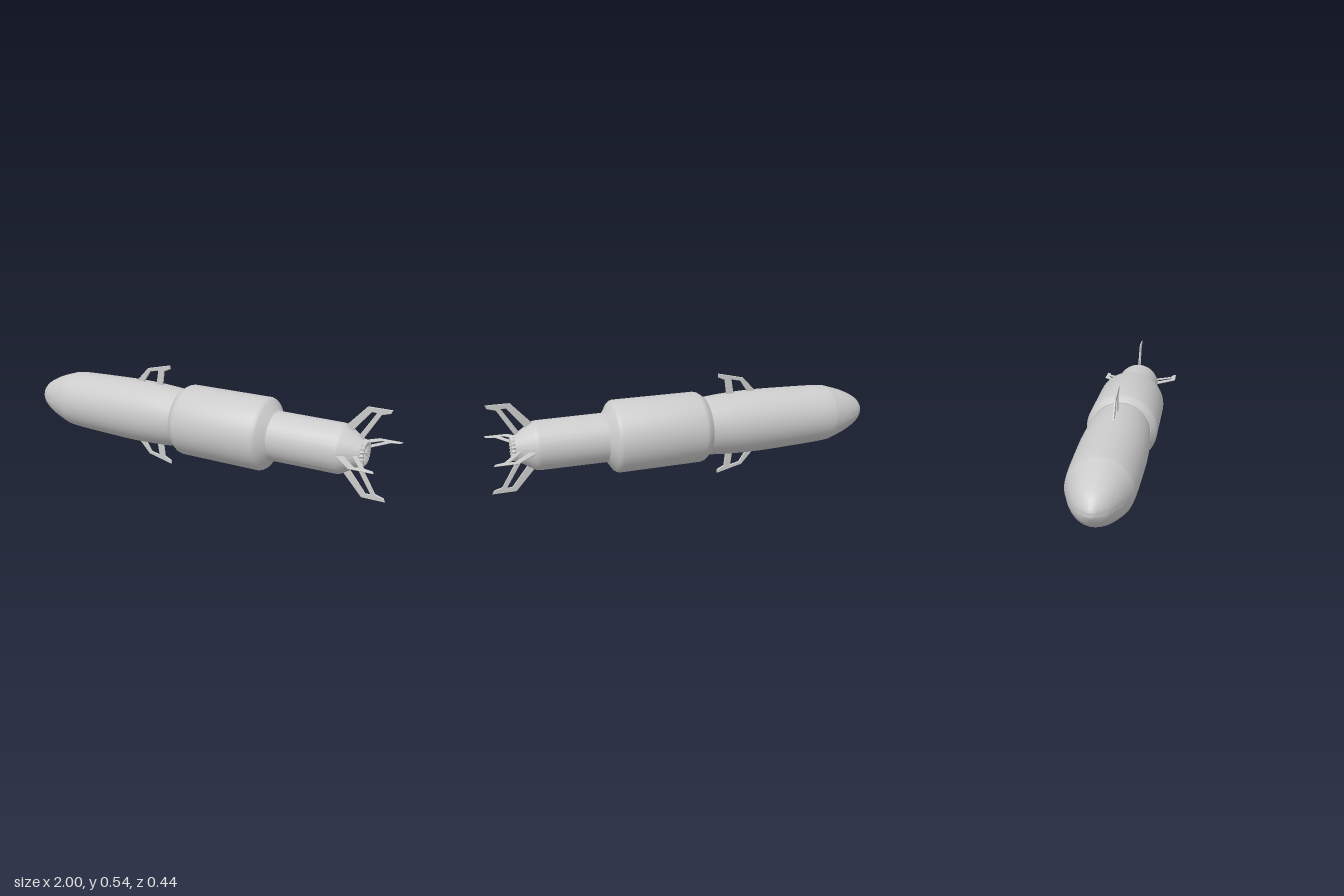
import * as THREE from 'three';
import { toCreasedNormals } from 'three/addons/utils/BufferGeometryUtils.js';

const AXIS_Y = 0.273;
const material = new THREE.MeshStandardMaterial({ color: 0xcccccc, side: THREE.DoubleSide });

// Profile points are [station along x, radius]
const toVectors = (list) => list.map(([x, r]) => new THREE.Vector2(r, x));

function turned(name, points, segments = 72, crease = 0.4) {
  const geometry = toCreasedNormals(new THREE.LatheGeometry(points, segments), crease);
  geometry.rotateZ(-Math.PI / 2);
  const mesh = new THREE.Mesh(geometry, material);
  mesh.name = name;
  return mesh;
}

// Thin plate in the x / radius plane, turned round the long axis
function fin(name, outline, angle, thickness) {
  const shape = new THREE.Shape(outline.map(([x, r]) => new THREE.Vector2(x, r)));
  const bevel = 0.002;
  const geometry = new THREE.ExtrudeGeometry(shape, {
    depth: thickness - 2 * bevel, bevelEnabled: true, bevelThickness: bevel,
    bevelSize: bevel, bevelOffset: -bevel, bevelSegments: 1,
  });
  geometry.translate(0, 0, -thickness / 2 + bevel);
  const mesh = new THREE.Mesh(geometry, material);
  mesh.name = name;
  mesh.rotation.x = angle;
  return mesh;
}

export function createModel() {
  const model = new THREE.Group();
  model.name = 'rocket';
  const body = new THREE.Group();
  body.name = 'body';
  body.position.y = AXIS_Y;
  model.add(body);

  // Blunt ogive nose
  const nose = new THREE.SplineCurve(toVectors([
    [-1, 0], [-0.993, 0.022], [-0.952, 0.07], [-0.872, 0.113], [-0.77, 0.147],
  ])).getPoints(28);
  body.add(turned('noseCone', nose));

  // Slightly swollen forward section
  const forward = new THREE.SplineCurve(toVectors([
    [-0.77, 0.147], [-0.7, 0.153], [-0.55, 0.158], [-0.36, 0.162],
    [-0.2, 0.158], [-0.06, 0.147],
  ])).getPoints(28);
  body.add(turned('forwardSection', forward));

  // Wide middle section with rounded shoulders
  body.add(turned('middleSection', toVectors([
    [-0.068, 0.14], [-0.068, 0.152], [-0.045, 0.171], [-0.035, 0.177], [-0.022, 0.18],
    [0.395, 0.18], [0.408, 0.176], [0.418, 0.168], [0.442, 0.132], [0.452, 0.121],
  ])));

  // Narrow tail tube and tapered end
  body.add(turned('tailSection', toVectors([
    [0.44, 0.122], [0.46, 0.121], [0.775, 0.119], [0.79, 0.117], [0.8, 0.112],
    [0.885, 0.058], [0.885, 0],
  ])));

  // Fluted nozzle: a ring whose wall and hollow end ripple round the axis
  const ring = new THREE.LatheGeometry(toVectors([
    [0.872, 0.052], [0.88, 0.058], [0.893, 0.058], [0.899, 0.054], [0.9, 0.046],
    [0.893, 0.03], [0.888, 0.012], [0.887, 0],
  ]), 160);
  const p = ring.attributes.position;
  for (let i = 0; i < p.count; i++) {
    const x = p.getX(i), z = p.getZ(i), r = Math.hypot(x, z);
    if (r < 0.001) continue;
    const wave = Math.cos(20 * Math.atan2(z, x));
    const scale = 1 + 0.06 * wave * Math.min(1, r / 0.05);
    p.setXYZ(i, x * scale, p.getY(i) + (r < 0.05 ? 0.002 * wave : 0), z * scale);
  }
  const nozzle = new THREE.Mesh(toCreasedNormals(ring, 0.9).rotateZ(-Math.PI / 2), material);
  nozzle.name = 'nozzle';
  body.add(nozzle);

  // Forward pair of open arched fins, above and below
  const forwardFin = [
    [-0.37, 0.145], [-0.285, 0.236], [-0.147, 0.268], [-0.147, 0.248], [-0.184, 0.231],
    [-0.195, 0.145], [-0.235, 0.145], [-0.221, 0.231], [-0.27, 0.22], [-0.32, 0.145],
  ];
  for (let i = 0; i < 2; i++) body.add(fin('forwardFin' + (i + 1), forwardFin, i * Math.PI, 0.009));

  // Four open swept fins round the tail
  const tailFin = [
    [0.782, 0.1], [0.888, 0.218], [1, 0.218], [0.992, 0.2], [0.952, 0.188],
    [0.882, 0.07], [0.87, 0.05], [0.852, 0.068], [0.93, 0.194], [0.907, 0.194],
    [0.832, 0.1], [0.815, 0.08],
  ];
  for (let i = 0; i < 4; i++) body.add(fin('tailFin' + (i + 1), tailFin, i * Math.PI / 2, 0.006));

  return model;
}
